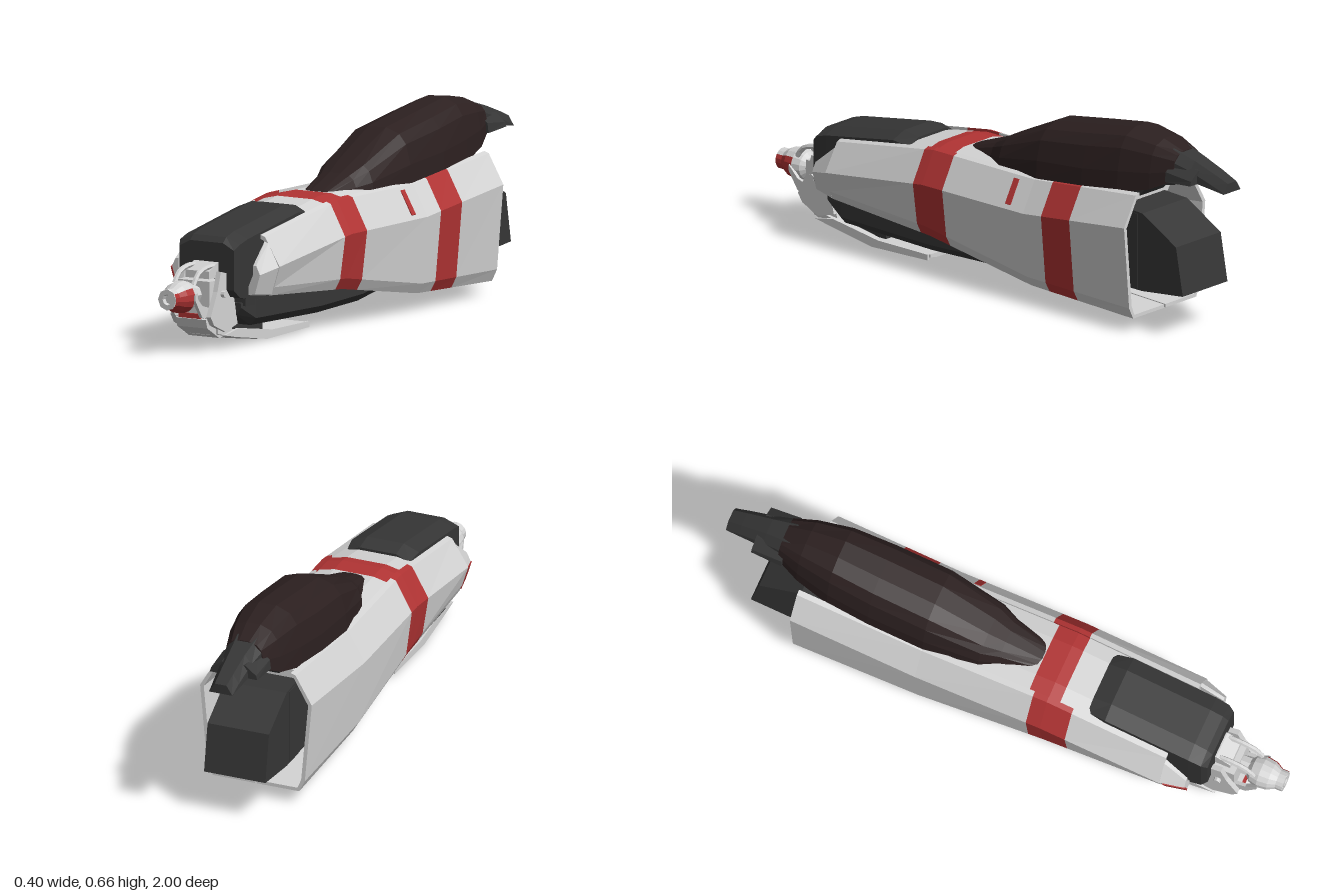
import * as THREE from 'three';

const mat = (name, color, side = THREE.FrontSide) => {
  const m = new THREE.MeshStandardMaterial({ color, side, flatShading: true });
  m.name = name;
  return m;
};

export function createModel() {
  const root = new THREE.Group();
  const white = mat('white paint', 0xd4d4d4);
  const red = mat('red stripe', 0xb23434);
  const dark = mat('dark metal', 0x363636);
  const brown = mat('brown leather', 0x2c2020);

  const add = (name, geo, material) => {
    const m = new THREE.Mesh(geo, material);
    m.name = name;
    root.add(m);
    return m;
  };

  // Closed solid through cross-sections [z, [[x, y], ...]] listed front to back
  const loft = (sections) => {
    const flip = THREE.ShapeUtils.area(sections[0][1].map(([x, y]) => new THREE.Vector2(x, y))) < 0;
    const rings = sections.map(([z, pts]) => {
      const r = pts.map(([x, y]) => new THREE.Vector3(x, y, z));
      return flip ? r.reverse() : r;
    });
    const out = [];
    const tri = (...vs) => vs.forEach((v) => out.push(v.x, v.y, v.z));
    const n = rings[0].length;
    for (let s = 0; s < rings.length - 1; s++) {
      const A = rings[s], B = rings[s + 1];
      for (let i = 0; i < n; i++) {
        const j = (i + 1) % n;
        tri(A[i], B[i], B[j]);
        tri(A[i], B[j], A[j]);
      }
    }
    const cap = (r, back) => {
      const flat = r.map((v) => new THREE.Vector2(v.x, v.y));
      for (const [a, b, c] of THREE.ShapeUtils.triangulateShape(flat, [])) {
        if (back) tri(r[a], r[c], r[b]); else tri(r[a], r[b], r[c]);
      }
    };
    cap(rings[0], false);
    cap(rings[rings.length - 1], true);
    const g = new THREE.BufferGeometry();
    g.setAttribute('position', new THREE.Float32BufferAttribute(out, 3));
    g.computeVertexNormals();
    return g;
  };

  // Plate drawn in the side plane as [z, y] points, spanning x0..x1
  const sidePlate = (pts, x0, x1) => {
    const s = new THREE.Shape(pts.map(([z, y]) => new THREE.Vector2(z, y)));
    return new THREE.ExtrudeGeometry(s, { depth: x1 - x0, bevelEnabled: false })
      .rotateY(-Math.PI / 2).translate(x1, 0, 0);
  };
  const box = (w, h, d, x, y, z) => new THREE.BoxGeometry(w, h, d).translate(x, y, z);

  // Linear interpolation of a table of rows [z, ...values]
  const rowAt = (table, z) => {
    let i = 0;
    while (i < table.length - 2 && z < table[i + 1][0]) i++;
    const [a, b] = [table[i], table[i + 1]];
    const t = (z - a[0]) / (b[0] - a[0]);
    return a.map((v, k) => v + (b[k] - v) * t);
  };
  // Loft cut into coloured lengths: cuts hold z limits, colours alternate white, red, ...
  const banded = (name, table, section, cuts) => {
    for (let i = 0; i < cuts.length - 1; i++) {
      const [f, b] = [cuts[i], cuts[i + 1]];
      const zs = [f, ...table.map((r) => r[0]).filter((z) => z < f && z > b), b];
      add(name + (i % 2 ? 'Stripe' : ''), loft(zs.map((z) => [z, section(rowAt(table, z))])), i % 2 ? red : white);
    }
  };

  // Side shells: z, top y, crease y, lower x, lower y, bottom x, bottom y
  const shell = [
    [0.63, 0.365, 0.27, 0.178, 0.2, 0.165, 0.172],
    [0.2, 0.432, 0.325, 0.18, 0.175, 0.16, 0.138],
    [-0.25, 0.43, 0.325, 0.178, 0.1, 0.158, 0.066],
    [-0.7, 0.475, 0.375, 0.175, 0.09, 0.155, 0.05],
  ];
  for (const s of [1, -1]) {
    const section = ([, yt, yc, xl, yl, xb, yb]) => [
      [0.124, yt + 0.006], [0.142, yt], [0.2, yc], [xl, yl], [xb, yb], [0.003, yb],
      [0.003, yb + 0.012], [xb - 0.006, yb + 0.012], [xl - 0.013, yl + 0.004],
      [0.187, yc - 0.003], [0.136, yt - 0.012], [0.124, yt - 0.008],
    ].map(([x, y]) => [s * x, y]);
    banded(s > 0 ? 'leftShell' : 'rightShell', shell, section,
      s > 0 ? [0.63, 0.24, 0.11, -0.33, -0.455, -0.7] : [0.63, 0.29, 0.15, -0.7]);
    // Faceted nose closing each shell
    const m = (pts) => pts.map(([x, y]) => [s * x, y]);
    add('shellNose', loft([
      [0.71, m([[0.148, 0.28], [0.16, 0.28], [0.175, 0.25], [0.155, 0.185], [0.13, 0.18], [0.13, 0.21], [0.148, 0.25]])],
      [0.63, m([[0.14, 0.35], [0.155, 0.345], [0.197, 0.268], [0.168, 0.175], [0.13, 0.168], [0.128, 0.21], [0.143, 0.27]])],
    ]), white);
    // Steering bracket side plates, hinge pins and skid rails
    const xs = (a, b) => (s > 0 ? [a, b] : [-b, -a]);
    add('steeringBracket', sidePlate([[0.74, 0.25], [0.8, 0.265], [0.82, 0.2], [0.86, 0.12], [0.84, 0.09], [0.77, 0.06], [0.7, 0.08]], ...xs(0.062, 0.08)), white);
    add('hingePin', new THREE.CylinderGeometry(0.012, 0.012, 0.02, 8).rotateZ(Math.PI / 2).translate(s * 0.083, 0.19, 0.79), white);
    add('gunArm', sidePlate([[0.78, 0.13], [0.88, 0.16], [0.92, 0.2], [0.92, 0.18], [0.88, 0.12], [0.8, 0.1]], ...xs(0.048, 0.06)), white);
    add('skidRail', sidePlate([[0.78, 0.05], [0.7, 0.065], [0.5, 0.035], [0.28, 0.035], [0.28, 0.015], [0.53, 0.007], [0.7, 0.035]], ...xs(0.075, 0.084)), white);
    const arm = new THREE.CatmullRomCurve3([[0.74, 0.27], [0.8, 0.28], [0.87, 0.265], [0.9, 0.23]]
      .map(([z, y]) => new THREE.Vector3(s * 0.038, y, z)));
    add('upperArm', new THREE.TubeGeometry(arm, 8, 0.009, 6), white);
  }

  // Small painted marks
  const mark = [[0.15, 0.42], [0.195, 0.341], [0.191, 0.338], [0.146, 0.417]];
  add('sideMark', loft([[-0.165, mark], [-0.188, mark]]), red);
  const under = (y) => [[-0.155, y], [-0.003, y], [-0.003, y - 0.004], [-0.155, y - 0.004]];
  add('undersideStripe', loft([[-0.33, under(0.064)], [-0.455, under(0.0605)]]), red);
  add('noseMark', loft([
    [0.712, [[-0.178, 0.25], [-0.158, 0.185], [-0.152, 0.187], [-0.172, 0.25]]],
    [0.64, [[-0.198, 0.265], [-0.17, 0.178], [-0.164, 0.18], [-0.192, 0.265]]],
  ]), red);

  // Top deck joining the two shells
  banded('topDeck', [[0.6, 0.375], [0.2, 0.442], [-0.25, 0.44], [-0.6, 0.445]],
    ([, y]) => [[-0.142, y - 0.017], [-0.07, y], [0.07, y], [0.142, y - 0.017], [0.125, y - 0.04], [-0.125, y - 0.04]],
    [0.6, 0.24, 0.13, -0.6]);

  // Inner core, front hood and belly
  add('core', loft([[0.7, 0.34], [0.2, 0.4], [-0.68, 0.4]].map(([z, t]) =>
    [z, [[-0.112, 0.14], [0.112, 0.14], [0.112, t], [-0.112, t]]])), dark);
  add('hood', loft([[0.765, 0.108, 0.2, 0.355], [0.745, 0.118, 0.175, 0.373], [0.7, 0.12, 0.165, 0.387],
    [0.4, 0.12, 0.2, 0.438], [0.335, 0.112, 0.3, 0.428]].map(([z, w, b, t]) =>
    [z, [[-w, b], [w, b], [w, t - 0.022], [0.065, t], [-0.065, t], [-w, t - 0.022]]])), dark);
  add('belly', loft([[0.71, 0.1, 0.11, 0.15], [0.64, 0.113, 0.068, 0.155], [0.25, 0.115, 0.06, 0.16],
    [0, 0.112, 0.068, 0.15], [-0.13, 0.1, 0.085, 0.13]].map(([z, w, b, t]) =>
    [z, [[-w * 0.8, b], [w * 0.8, b], [w, b + 0.025], [w, t], [-w, t], [-w, b + 0.025]]])), dark);

  // Seat: z, half width, base y, top y
  const half = [[1, 0], [0.97, 0.35], [0.84, 0.72], [0.64, 0.9], [0.25, 1]];
  const ring = [...half, ...half.map(([x, y]) => [-x, y]).reverse()];
  add('seat', loft([[0.14, 0.05, 0.42, 0.437], [0, 0.085, 0.42, 0.488], [-0.06, 0.112, 0.42, 0.52],
    [-0.25, 0.136, 0.43, 0.61], [-0.45, 0.135, 0.44, 0.643], [-0.6, 0.125, 0.46, 0.667],
    [-0.72, 0.1, 0.49, 0.65], [-0.8, 0.072, 0.53, 0.622]].map(([z, w, b, t]) =>
    [z, ring.map(([x, y]) => [x * w, b + y * (t - b)])])), brown);

  // Tail fin and its shoulders
  const tail = (rows) => loft(rows.map(([z, w, b, t]) =>
    [z, [[-w, b], [w, b], [w * 0.95, t - 0.03], [w * 0.5, t], [-w * 0.5, t], [-w * 0.95, t - 0.03]]]));
  add('tailFin', tail([[-0.77, 0.07, 0.54, 0.628], [-0.86, 0.055, 0.54, 0.603], [-0.95, 0.047, 0.528, 0.572], [-1, 0.042, 0.52, 0.553]]), dark);
  add('tailShoulders', tail([[-0.78, 0.088, 0.527, 0.59], [-0.89, 0.085, 0.535, 0.58]]), dark);
  add('seatBrace', sidePlate([[-0.6, 0.45], [-0.66, 0.5], [-0.8, 0.53], [-0.8, 0.515], [-0.68, 0.485], [-0.64, 0.44]], -0.06, 0.06), dark);

  // Rear engine block
  add('engineBlock', sidePlate([[-0.6, 0.41], [-0.7, 0.405], [-0.85, 0.32], [-0.88, 0.155], [-0.7, 0.135], [-0.6, 0.135]], -0.11, 0.11), dark);

  // Gun mount between the brackets
  add('gunMount', box(0.125, 0.13, 0.12, 0, 0.17, 0.78), white);
  add('mountCowl', sidePlate([[0.72, 0.29], [0.77, 0.29], [0.82, 0.265], [0.82, 0.24], [0.72, 0.24]], -0.047, 0.047), white);
  add('mountChin', sidePlate([[0.86, 0.11], [0.85, 0.08], [0.78, 0.04], [0.7, 0.05], [0.72, 0.12]], -0.06, 0.06), white);
  add('gunNeck', new THREE.CylinderGeometry(0.032, 0.032, 0.08, 8).rotateX(Math.PI / 2).translate(0, 0.19, 0.86), white);
  add('chinStripe', box(0.084, 0.016, 0.009, 0, 0.121, 0.864), red);

  // Ball gun, red on one side, with a pale muzzle
  const gun = [[0.03, 0.87], [0.047, 0.885], [0.055, 0.915], [0.05, 0.95], [0.036, 0.975], [0.036, 1]];
  const gunPart = (name, pts, start, length, n, m) => add(name,
    new THREE.LatheGeometry(pts.map(([r, z]) => new THREE.Vector2(r, z)), n, start, length)
      .rotateX(Math.PI / 2).translate(0, 0.19, 0), m);
  gunPart('gunBall', gun, 2.2, Math.PI * 2 - 2.8, 9, white);
  gunPart('gunBallRear', gun.slice(0, 3), -0.6, 2.8, 7, white);
  gunPart('gunBallRed', gun.slice(2), -0.6, 2.8, 7, red);
  gunPart('muzzle', [[0.036, 1], [0.018, 1], [0.016, 0.985], [0, 0.985]], 0, Math.PI * 2, 8, white);

  // Lower skid plate
  add('skid', loft([[0.8, 0.068, 0.05, 0.075], [0.7, 0.075, 0.028, 0.06], [0.53, 0.075, 0.003, 0.03],
    [0.28, 0.07, 0.016, 0.032]].map(([z, w, b, t]) =>
    [z, [[-w, b + 0.006], [-w * 0.5, b], [w * 0.5, b], [w, b + 0.006], [w, t], [-w, t]]])), white);
  add('skidStrut', box(0.09, 0.06, 0.2, 0, 0.06, 0.6), dark);

  return root;
}
